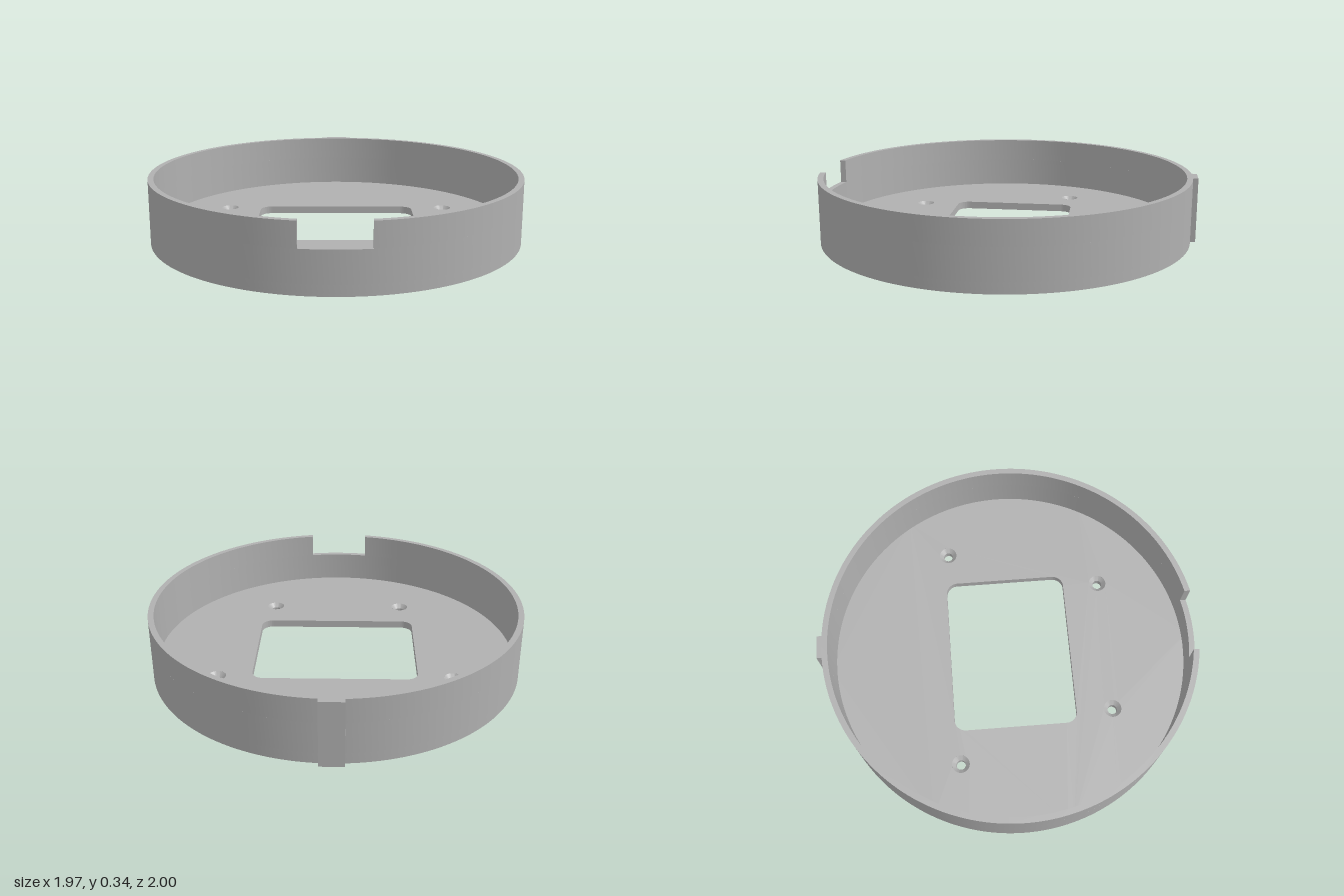
import * as THREE from 'three';
import { toCreasedNormals } from 'three/addons/utils/BufferGeometryUtils.js';

const R = 0.985, INNER = 0.955;              // outer and inner wall radius
const RECESS = 0.015, FLOOR = 0.055, SILL = 0.215, TOP = 0.34; // heights
const NOTCH = 0.165;                         // half width of the front notch
const SCREWS = [[0.61, -0.31], [-0.61, -0.31], [0.37, 0.525], [-0.37, 0.525]];

const grey = new THREE.MeshStandardMaterial({ color: 0xb0b0b0 });
grey.name = 'grey plastic';

function circle(Type, r, x = 0, y = 0) {
  const p = new Type();
  p.absarc(x, y, r, 0, Math.PI * 2, false);
  return p;
}

// Rectangle with rounded corners, from (x0, y0) to (x1, y1)
function roundedRect(Type, x0, y0, x1, y1, r) {
  const p = new Type();
  p.absarc(x1 - r, y1 - r, r, 0, Math.PI / 2);
  p.absarc(x0 + r, y1 - r, r, Math.PI / 2, Math.PI);
  p.absarc(x0 + r, y0 + r, r, Math.PI, Math.PI * 1.5);
  p.absarc(x1 - r, y0 + r, r, Math.PI * 1.5, Math.PI * 2);
  p.closePath();
  return p;
}

function mesh(name, geometry) {
  const m = new THREE.Mesh(toCreasedNormals(geometry, 0.5), grey);
  m.name = name;
  return m;
}

// Extrudes a plan outline (shape y = -z) between two heights
function slab(name, shape, y0, y1, curveSegments = 96) {
  const g = new THREE.ExtrudeGeometry(shape, { depth: y1 - y0, bevelEnabled: false, curveSegments });
  g.rotateX(-Math.PI / 2);
  g.translate(0, y0, 0);
  return mesh(name, g);
}

export function createModel() {
  const model = new THREE.Group();
  model.name = 'roundHousing';
  const body = new THREE.Group();
  body.name = 'body';
  body.position.z = 0.01;
  model.add(body);

  // Underside layer with the shallow rectangular recess
  const base = circle(THREE.Shape, R);
  const recess = new THREE.Path();
  recess.moveTo(-0.66, -0.59);
  recess.lineTo(0.66, -0.59);
  recess.lineTo(0.66, 0.71);
  recess.lineTo(-0.66, 0.71);
  recess.closePath();
  base.holes.push(recess);
  body.add(slab('undersideRim', base, 0, RECESS));

  // Floor with the central window and the screw holes
  const floor = circle(THREE.Shape, R);
  floor.holes.push(roundedRect(THREE.Path, -0.43, -0.33, 0.43, 0.33, 0.06));
  for (const [x, z] of SCREWS) floor.holes.push(circle(THREE.Path, 0.047, x, -z));
  body.add(slab('floor', floor, RECESS, FLOOR));

  // Countersunk screw bosses
  const profile = [
    [0.025, 0], [0.065, 0], [0.065, RECESS], [0.047, RECESS],
    [0.047, FLOOR], [0.025, 0.033], [0.025, 0],
  ].map(([r, y]) => new THREE.Vector2(r, y));
  for (const [x, z] of SCREWS) {
    const boss = mesh('screwBoss', new THREE.LatheGeometry(profile, 40));
    boss.position.set(x, 0, z);
    body.add(boss);
  }

  // Full wall up to the notch sill
  const wall = circle(THREE.Shape, R);
  wall.holes.push(circle(THREE.Path, INNER));
  body.add(slab('lowerWall', wall, FLOOR, SILL));

  // Upper wall, open at the front notch
  const a = Math.asin(NOTCH / R), b = Math.asin(NOTCH / INNER);
  const upper = new THREE.Shape();
  upper.absarc(0, 0, R, -Math.PI / 2 + a, Math.PI * 1.5 - a, false);
  upper.absarc(0, 0, INNER, Math.PI * 1.5 - b, -Math.PI / 2 + b, true);
  upper.closePath();
  body.add(slab('upperWall', upper, SILL, TOP));

  // Locating key on the back
  const key = mesh('locatingKey', new THREE.BoxGeometry(0.12, TOP, 0.04));
  key.position.set(0, TOP / 2, -0.99);
  body.add(key);

  return model;
}
